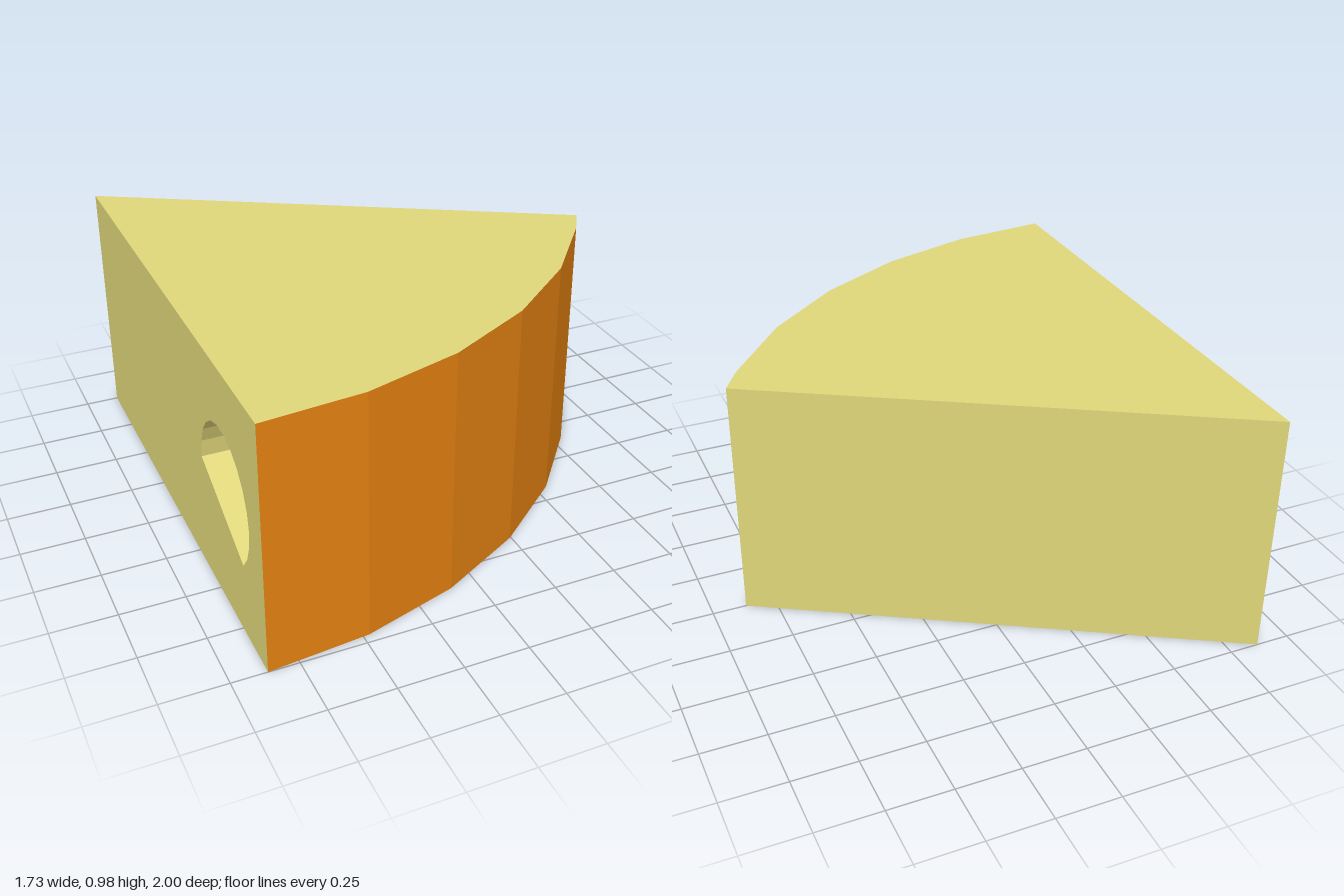
import * as THREE from 'three';

const H = 0.98, R = 2, X0 = -0.866, Z0 = -1, PIT = 0.15;

// Flat-faced strip: a polyline swept along an offset
function strip(points, offset) {
  const pos = [];
  for (let i = 0; i < points.length - 1; i++) {
    const a = points[i], b = points[i + 1];
    const c = b.clone().add(offset), d = a.clone().add(offset);
    for (const p of [a, b, c, a, c, d]) pos.push(p.x, p.y, p.z);
  }
  const g = new THREE.BufferGeometry();
  g.setAttribute('position', new THREE.Float32BufferAttribute(pos, 3));
  g.computeVertexNormals();
  return g;
}

export function createModel() {
  const group = new THREE.Group();
  const cheese = new THREE.MeshStandardMaterial({ color: 0xe0d67a, flatShading: true });
  const pitMat = new THREE.MeshStandardMaterial({ color: 0xe0d67a, flatShading: true, side: THREE.DoubleSide });
  const rindMat = new THREE.MeshStandardMaterial({ color: 0xe68212, flatShading: true });
  const add = (name, geometry, material) => {
    const mesh = new THREE.Mesh(geometry, material);
    mesh.name = name;
    group.add(mesh);
    return mesh;
  };
  const up = new THREE.Vector3(0, H, 0);

  // Outer arc: 60 degrees around the tip, in steps of 1/32 turn
  const arc = [0, 11.25, 22.5, 33.75, 45, 56.25, 60].map((deg) => {
    const a = THREE.MathUtils.degToRad(deg);
    return new THREE.Vector3(X0 + R * Math.sin(a), 0, Z0 + R * Math.cos(a));
  });
  const tip = new THREE.Vector3(X0, 0, Z0);

  // Rind and plain cut face
  add('rind', strip(arc, up), rindMat);
  add('slantedCutFace', strip([arc[arc.length - 1], tip], up), cheese);

  // Top and bottom
  const outline = [tip, ...arc];
  const topShape = new THREE.Shape(outline.map((p) => new THREE.Vector2(p.x, -p.z)));
  const bottomShape = new THREE.Shape(outline.map((p) => new THREE.Vector2(p.x, p.z)));
  add('top', new THREE.ShapeGeometry(topShape).rotateX(-Math.PI / 2), cheese).position.y = H;
  add('bottom', new THREE.ShapeGeometry(bottomShape).rotateX(Math.PI / 2), cheese);

  // Side cut face with a hole: a circle cut off by a sloping chord
  const hole = [];
  for (let i = 0; i <= 14; i++) {
    const a = THREE.MathUtils.degToRad(-48 + (228 * i) / 14);
    hole.push(new THREE.Vector2(0.62 + 0.255 * Math.cos(a), 0.49 + 0.255 * Math.sin(a)));
  }
  const face = new THREE.Shape([[-1, 0], [1, 0], [1, H], [-1, H]].map((p) => new THREE.Vector2(...p)));
  face.holes.push(new THREE.Path([...hole, hole[0]]));
  add('sideCutFace', new THREE.ShapeGeometry(face).rotateY(-Math.PI / 2), cheese).position.x = X0;

  // Shallow pit behind the hole
  const rim = [...hole, hole[0]].map((p) => new THREE.Vector3(X0, p.y, p.x));
  add('pitWall', strip(rim, new THREE.Vector3(PIT, 0, 0)), pitMat);
  const floor = new THREE.ShapeGeometry(new THREE.Shape(hole)).rotateY(-Math.PI / 2);
  add('pitFloor', floor, pitMat).position.x = X0 + PIT;

  return group;
}
